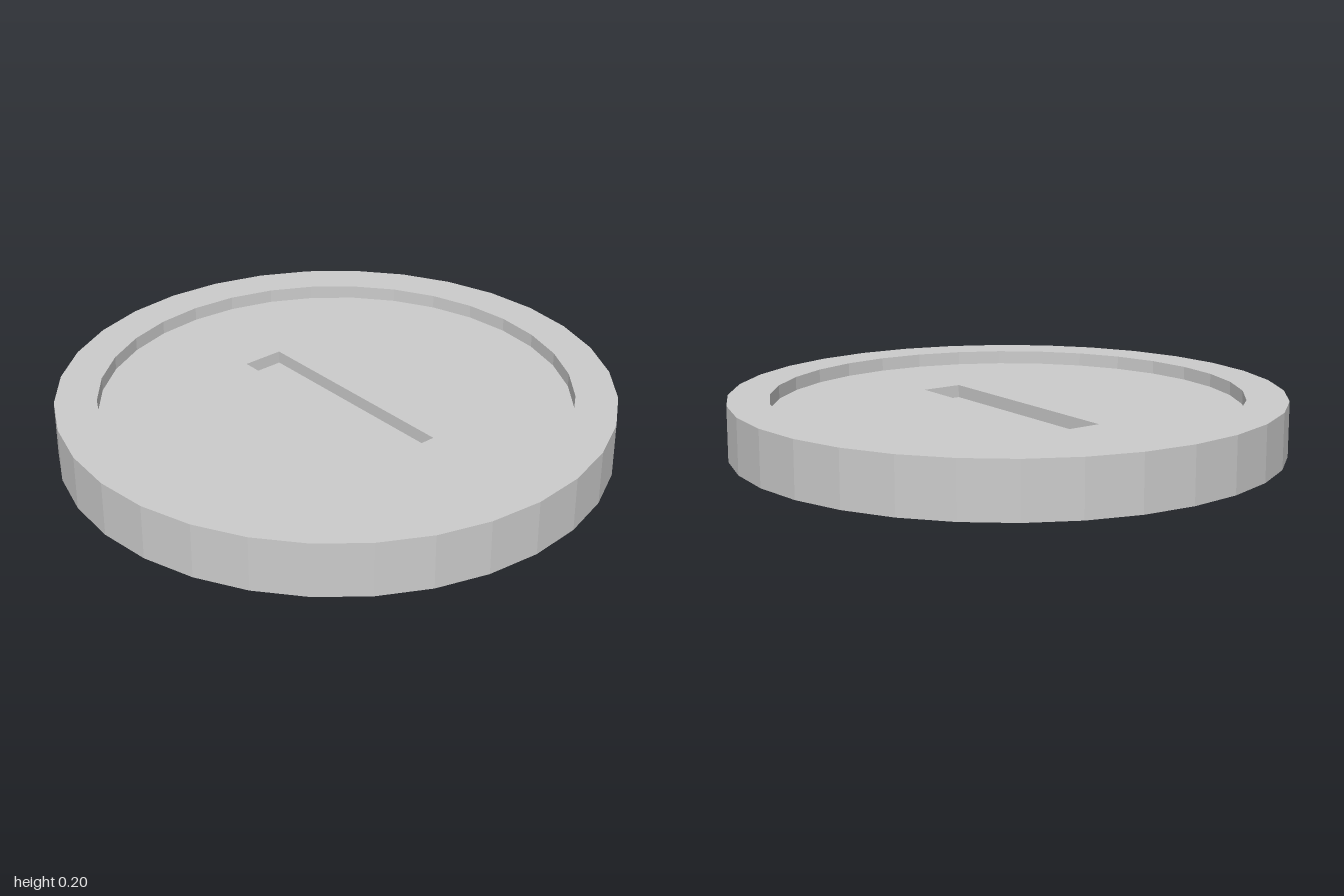
import * as THREE from 'three';

const SIDES = 32, RIM = 1, INNER = 0.85, HEIGHT = 0.2, RECESS = 0.05;
const SLOT_X = 0.425, SLOT_Z = 0.0775;

export function createModel() {
  const group = new THREE.Group();
  const material = new THREE.MeshStandardMaterial({ color: 0xcccccc, flatShading: true });
  const add = (name, geometry) => {
    const mesh = new THREE.Mesh(geometry, material);
    mesh.name = name;
    group.add(mesh);
    return mesh;
  };

  // Raised rim: a faceted ring, taller than the plate on both sides
  const profile = [
    [INNER, RECESS], [INNER, 0], [RIM, 0], [RIM, HEIGHT],
    [INNER, HEIGHT], [INNER, HEIGHT - RECESS],
  ].map(([r, y]) => new THREE.Vector2(r, y));
  add('rim', new THREE.LatheGeometry(profile, SIDES));

  // Recessed plate with a rectangular slot
  const outline = Array.from({ length: SIDES }, (_, i) => {
    const a = (i / SIDES) * Math.PI * 2;
    return new THREE.Vector2(INNER * Math.cos(a), INNER * Math.sin(a));
  });
  const shape = new THREE.Shape(outline);
  shape.holes.push(new THREE.Path([
    new THREE.Vector2(-SLOT_X, -SLOT_Z), new THREE.Vector2(-SLOT_X, SLOT_Z),
    new THREE.Vector2(SLOT_X, SLOT_Z), new THREE.Vector2(SLOT_X, -SLOT_Z),
  ]));
  const plate = new THREE.ExtrudeGeometry(shape, { depth: HEIGHT - 2 * RECESS, bevelEnabled: false });
  plate.rotateX(-Math.PI / 2).translate(0, RECESS, 0);
  add('plate', plate);

  // Thin web closing the slot halfway, leaving a groove above and below
  add('slotFloor', new THREE.BoxGeometry(SLOT_X * 2, 0.006, SLOT_Z * 2)).position.y = HEIGHT / 2;

  return group;
}
